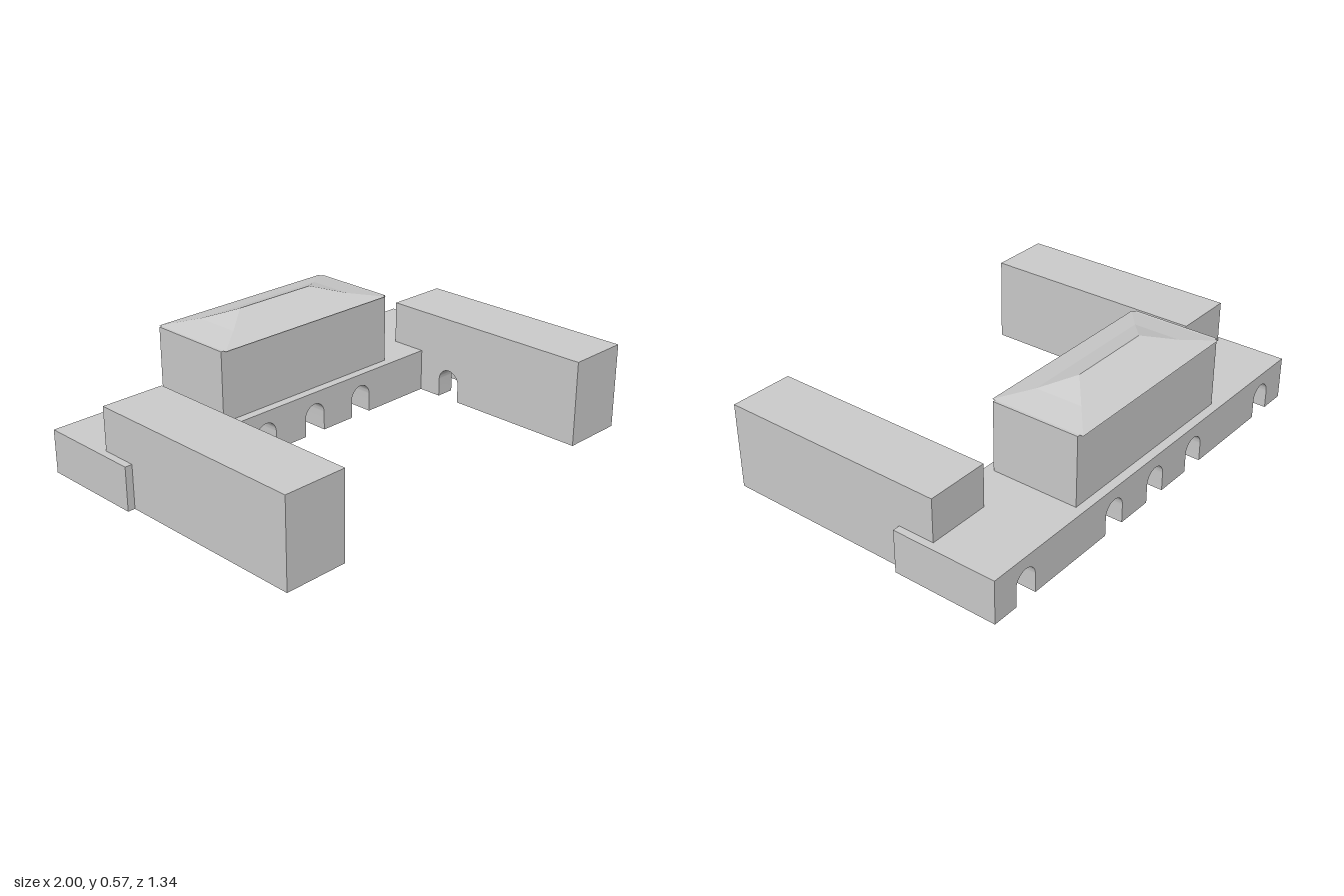
import * as THREE from 'three';
import { toCreasedNormals } from 'three/addons/utils/BufferGeometryUtils.js';

const material = new THREE.MeshStandardMaterial({ color: 0xcccccc });
const flat = new THREE.MeshStandardMaterial({ color: 0xcccccc, flatShading: true });

const BASE_H = 0.192, WING_H = 0.383, BACK = -0.67, BASE_FRONT = -0.195, FRONT = 0.67;
const WING_X = 0.825, WING_HALF = 0.1425, TURN_Z = -0.03;
const ARCH_R = 0.055, ARCH_SPRING = 0.083;

function addMesh(parent, name, geometry, mat = material) {
  const mesh = new THREE.Mesh(geometry, mat);
  mesh.name = name;
  parent.add(mesh);
  return mesh;
}

// Box given by its limits
function addBox(parent, name, [x0, x1], [y0, y1], [z0, z1]) {
  const mesh = addMesh(parent, name, new THREE.BoxGeometry(x1 - x0, y1 - y0, z1 - z0));
  mesh.position.set((x0 + x1) / 2, (y0 + y1) / 2, (z0 + z1) / 2);
}

// Block outline with round-headed openings cut up from its lower edge
function arcadeShape(half, height, centres) {
  const s = new THREE.Shape();
  s.moveTo(-half, 0);
  for (const c of centres) {
    s.lineTo(c - ARCH_R, 0);
    s.lineTo(c - ARCH_R, ARCH_SPRING);
    s.absarc(c, ARCH_SPRING, ARCH_R, Math.PI, 0, true);
    s.lineTo(c + ARCH_R, 0);
  }
  s.lineTo(half, 0);
  s.lineTo(half, height);
  s.lineTo(-half, height);
  s.closePath();
  return s;
}

// Passage block swept from the base, mitred, and turned out to the inner wall
function passageGeometry(side) {
  let pts = arcadeShape(WING_HALF, BASE_H, [0]).getPoints(12);
  pts = pts.filter((p, i) => p.distanceTo(pts[(i + 1) % pts.length]) > 1e-5);
  const n = pts.length;
  const sections = [
    (p) => [WING_X + p.x, BASE_FRONT],
    (p) => [WING_X + p.x, TURN_Z + p.x],
    () => [WING_X - WING_HALF, 0],
  ];
  const position = [], index = [];
  sections.forEach((at, k) => pts.forEach((p) => {
    const [x, z] = at(p);
    position.push(side * x, p.y, k === 2 ? TURN_Z + p.x : z);
  }));
  const tri = (a, b, c) => (side > 0 ? index.push(a, b, c) : index.push(a, c, b));
  for (let k = 0; k < 2; k++) {
    for (let i = 0; i < n; i++) {
      const j = (i + 1) % n;
      const a = k * n + i, b = k * n + j, c = a + n, d = b + n;
      tri(a, b, d);
      tri(a, d, c);
    }
  }
  // Wall with the arched exit
  for (const [a, b, c] of THREE.ShapeUtils.triangulateShape(pts, [])) {
    tri(2 * n + a, 2 * n + b, 2 * n + c);
  }
  const g = new THREE.BufferGeometry();
  g.setAttribute('position', new THREE.Float32BufferAttribute(position, 3));
  g.setIndex(index);
  return toCreasedNormals(g, 0.5);
}

// Hipped roof from stacked rectangular rings
function roofGeometry(rings) {
  const position = [], index = [];
  for (const [hx, y, hz] of rings) {
    position.push(-hx, y, hz, hx, y, hz, hx, y, -hz, -hx, y, -hz);
  }
  for (let k = 0; k < rings.length - 1; k++) {
    for (let i = 0; i < 4; i++) {
      const a = k * 4 + i, b = k * 4 + ((i + 1) % 4);
      index.push(a, b, b + 4, a, b + 4, a + 4);
    }
  }
  index.push(0, 2, 1, 0, 3, 2);
  const g = new THREE.BufferGeometry();
  g.setAttribute('position', new THREE.Float32BufferAttribute(position, 3));
  g.setIndex(index);
  const out = g.toNonIndexed();
  out.computeVertexNormals();
  return out;
}

export function createModel() {
  const model = new THREE.Group();
  model.name = 'courtyardBuilding';

  // Long low range with five tunnels running through it
  const range = new THREE.ExtrudeGeometry(
    arcadeShape(1, BASE_H, [-WING_X, -0.28, 0, 0.28, WING_X]),
    { depth: BASE_FRONT - BACK, bevelEnabled: false, curveSegments: 12 },
  );
  range.translate(0, 0, BACK);
  addMesh(model, 'arcadeRange', toCreasedNormals(range, 0.5));

  // Central hall and its roof
  const hall = new THREE.Group();
  hall.name = 'centralHall';
  addBox(hall, 'hallWalls', [-0.475, 0.475], [BASE_H, 0.503], [-0.63, -0.235]);
  const roof = addMesh(hall, 'hippedRoof', roofGeometry([
    [0.462, 0.503, 0.212], [0.33, 0.527, 0.106], [0.2, 0.566, 0],
  ]), flat);
  roof.position.z = -0.433;
  model.add(hall);

  // Side wings, each with a passage from the back to the courtyard
  for (const side of [1, -1]) {
    const wing = new THREE.Group();
    wing.name = side > 0 ? 'leftWing' : 'rightWing';
    const xs = [side * WING_X - WING_HALF, side * WING_X + WING_HALF];
    addBox(wing, 'upperWing', xs, [BASE_H, WING_H], [-0.36, FRONT]);
    addBox(wing, 'lowerWing', xs, [0, BASE_H], [TURN_Z + WING_HALF, FRONT]);
    addMesh(wing, 'archedPassage', passageGeometry(side));
    model.add(wing);
  }
  return model;
}
